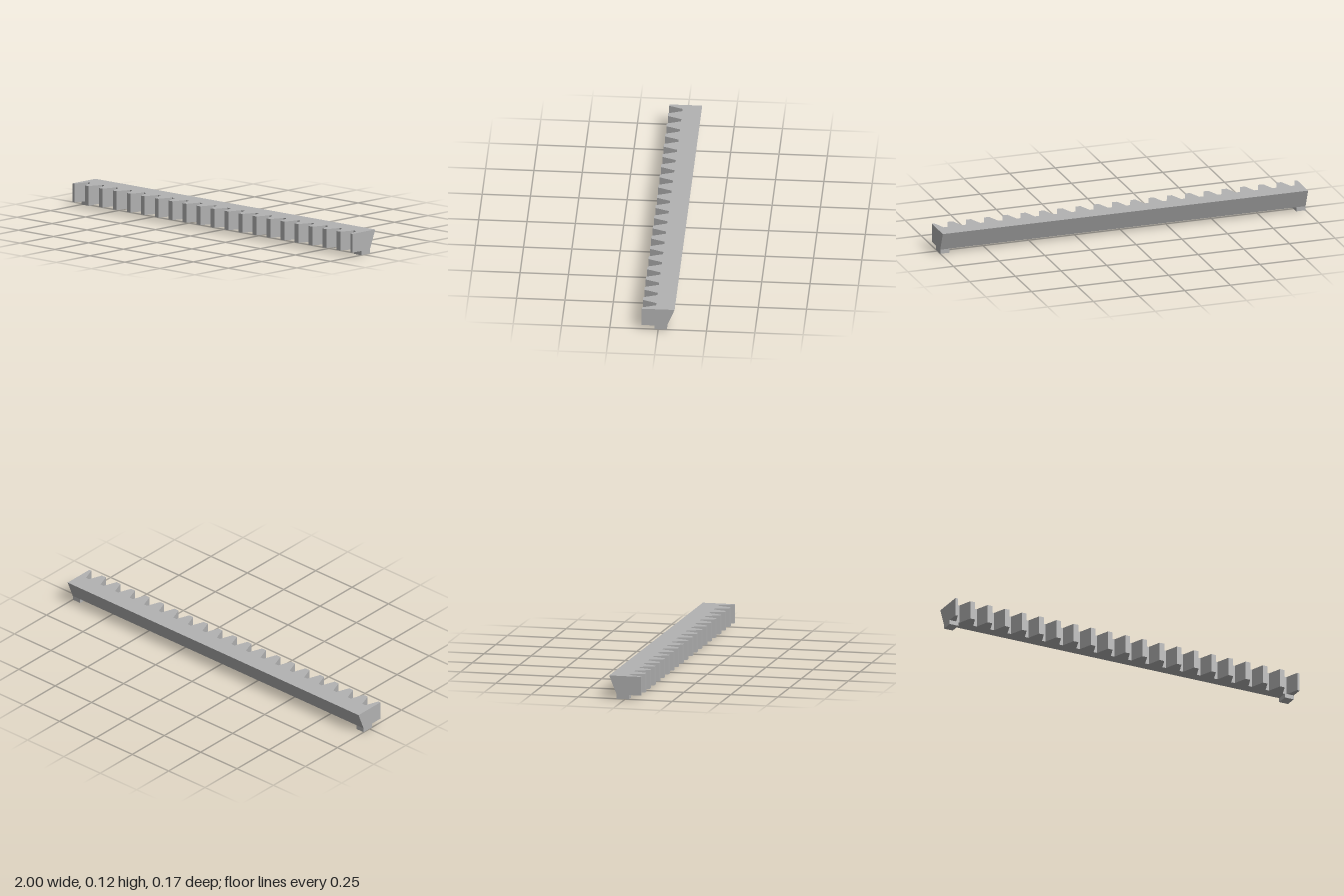
import * as THREE from 'three';

const TOP = 0.121, BASE = 0.0225;          // rack height range
const FRONT = 0.085, ROOT = 0.0133, BACK = -0.085, BACK_LOW = -0.045;
const PITCH = 0.1, COUNT = 20;             // tooth spacing, with half teeth at both ends
const TIP_HALF = 0.0135, ROOT_HALF = 0.0395;

export function createModel() {
  const group = new THREE.Group();
  const steel = new THREE.MeshStandardMaterial({ color: 0xb2b2b2 });
  steel.name = 'steel grey';

  // Toothed outline seen from above; each gap is a trapezoid between two teeth
  const outline = new THREE.Shape();
  outline.moveTo(-1, BACK).lineTo(1, BACK).lineTo(1, FRONT);
  for (let i = 0; i < COUNT; i++) {
    const right = 1 - i * PITCH, left = right - PITCH;
    outline.lineTo(right - TIP_HALF, FRONT);
    outline.lineTo(right - ROOT_HALF, ROOT);
    outline.lineTo(left + ROOT_HALF, ROOT);
    outline.lineTo(left + TIP_HALF, FRONT);
  }
  outline.lineTo(-1, FRONT).closePath();

  // Rack bar: extruded downward, with the lower back edge drawn in for the sloping back
  const geo = new THREE.ExtrudeGeometry(outline, { depth: TOP - BASE, bevelEnabled: false });
  geo.rotateX(Math.PI / 2).translate(0, TOP, 0);
  const pos = geo.attributes.position;
  for (let i = 0; i < pos.count; i++) {
    if (pos.getY(i) < BASE + 0.001 && pos.getZ(i) < BACK + 0.001) pos.setZ(i, BACK_LOW);
  }
  geo.computeVertexNormals();
  const rack = new THREE.Mesh(geo, steel);
  rack.name = 'toothedRack';
  group.add(rack);

  // Small foot under each end
  const footFront = 0.0195, footWidth = 0.051;
  for (const side of [-1, 1]) {
    const foot = new THREE.Mesh(
      new THREE.BoxGeometry(footWidth, BASE, footFront - BACK_LOW), steel);
    foot.position.set(side * (1 - footWidth / 2), BASE / 2, (footFront + BACK_LOW) / 2);
    foot.name = side > 0 ? 'leftFoot' : 'rightFoot';
    group.add(foot);
  }
  return group;
}
